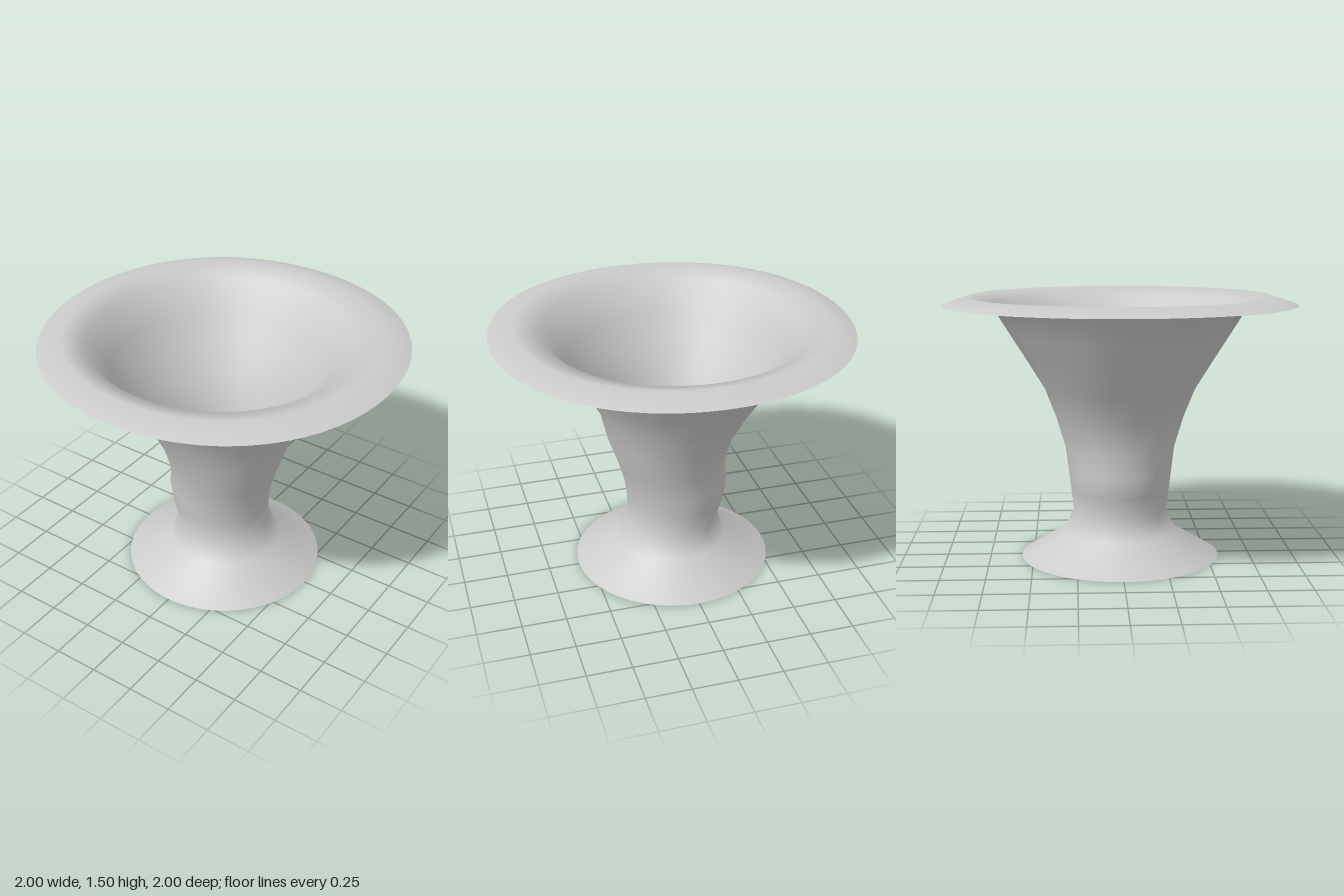
import * as THREE from 'three';

const SIDES = 64;

// Cross-sections from foot to lip: [height, centre x, radius x, radius z, diagonal swell]
const RINGS = [
  [0, 0, 0.57, 0.57, 0],
  [0.145, 0.01, 0.323, 0.322, 0],
  [0.27, 0, 0.265, 0.267, 0],
  [0.39, -0.022, 0.283, 0.281, 0],
  [0.51, -0.022, 0.298, 0.295, 0],
  [0.635, 0.002, 0.308, 0.312, 0],
  [0.81, 0.01, 0.36, 0.365, 0],
  [0.98, -0.02, 0.43, 0.428, 0],
  [1.13, -0.03, 0.523, 0.518, 0],
  [1.28, -0.026, 0.613, 0.613, 0],
  [1.458, -0.02, 0.725, 0.724, 0.005],
  [1.502, -0.003, 0.858, 0.857, 0.006],
  [1.455, 0, 1, 1, 0.006],
];

// Skin joining successive closed rings, open at both ends
function loft(rings) {
  const positions = [], indices = [];
  for (const [y, cx, rx, rz, swell] of rings) {
    for (let i = 0; i < SIDES; i++) {
      const a = (i / SIDES) * Math.PI * 2;
      const k = 1 + swell * (1 - Math.cos(4 * a));
      positions.push(cx + rx * k * Math.cos(a), y, rz * k * Math.sin(a));
    }
  }
  for (let r = 0; r < rings.length - 1; r++) {
    for (let i = 0; i < SIDES; i++) {
      const j = (i + 1) % SIDES;
      const a = r * SIDES + i, b = r * SIDES + j;
      const c = a + SIDES, d = b + SIDES;
      indices.push(a, c, b, b, c, d);
    }
  }
  const geometry = new THREE.BufferGeometry();
  geometry.setAttribute('position', new THREE.Float32BufferAttribute(positions, 3));
  geometry.setIndex(indices);
  geometry.computeVertexNormals();
  return geometry;
}

export function createModel() {
  const group = new THREE.Group();
  group.name = 'vase';

  // One thin shell: flared foot, uneven stem, bowl and turned-down lip
  const material = new THREE.MeshStandardMaterial({ color: 0xcccccc, side: THREE.DoubleSide });
  const shell = new THREE.Mesh(loft(RINGS), material);
  shell.name = 'vaseShell';
  group.add(shell);

  return group;
}
